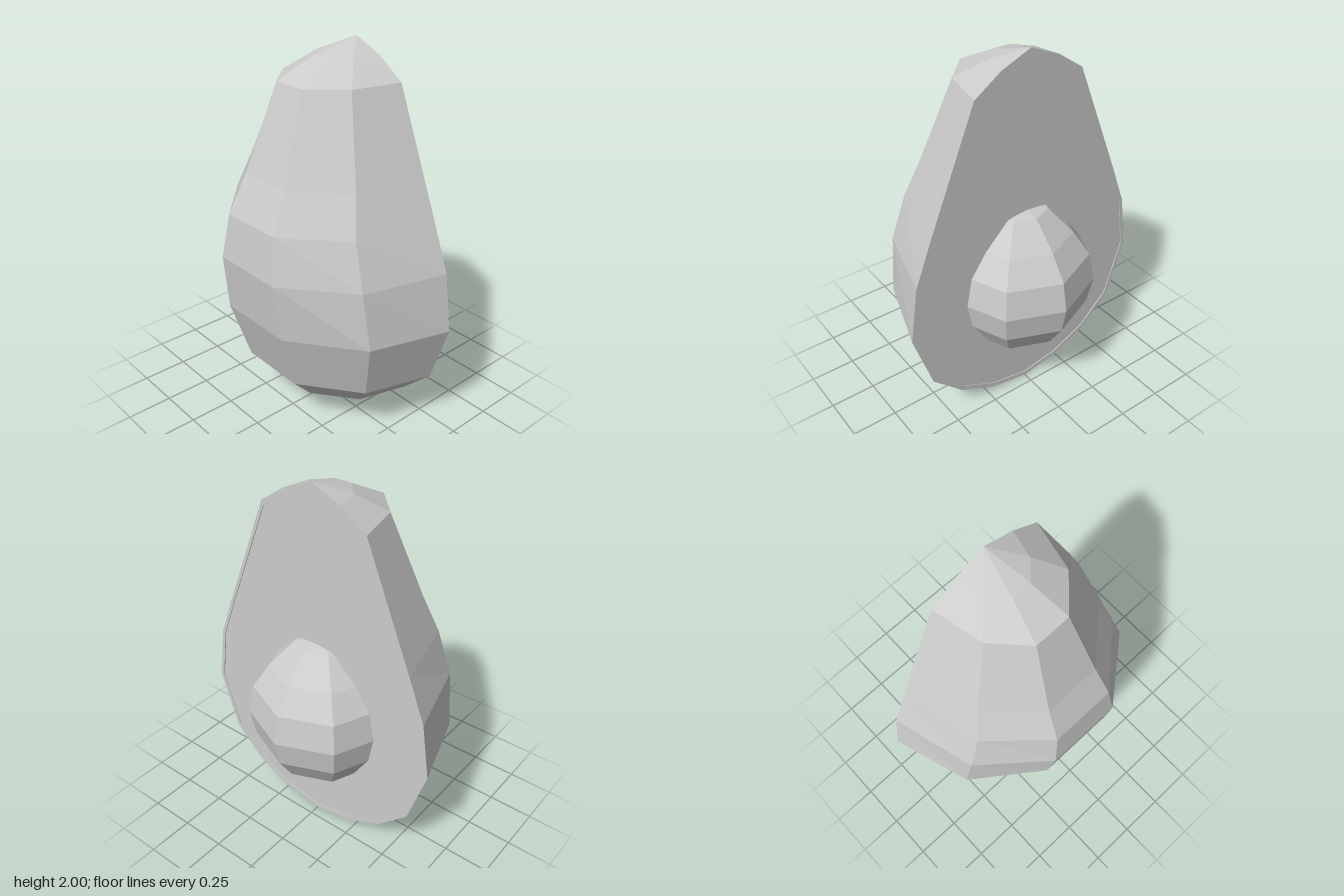
import * as THREE from 'three';

const CUT = -0.195; // z of the flat sliced plane
const SIDES = 5; // facets around the half skin

// Skin rings from bottom to top: [height, half width, depth radius]
const RINGS = [
  [0, 0, 0], [0.04, 0.225, 0.242], [0.14, 0.43, 0.447], [0.31, 0.605, 0.61],
  [0.64, 0.71, 0.715], [0.95, 0.665, 0.752], [1.19, 0.572, 0.715],
  [1.39, 0.49, 0.615], [1.83, 0.31, 0.447], [1.93, 0.165, 0.242], [2, 0, 0],
];

// Seed profile from bottom to top: [radius, height]
const SEED = [
  [0, 0.295], [0.155, 0.32], [0.29, 0.41], [0.38, 0.55], [0.41, 0.7],
  [0.38, 0.86], [0.29, 0.99], [0.155, 1.125], [0, 1.16],
];

const material = () => new THREE.MeshStandardMaterial({ color: 0xcccccc, flatShading: true });

function addMesh(group, name, geometry) {
  const mesh = new THREE.Mesh(geometry, material());
  mesh.name = name;
  group.add(mesh);
  return mesh;
}

// Joins successive rows of points with faces, skipping collapsed triangles
function loft(rows) {
  const points = [];
  const addTriangle = (a, b, c) => {
    const area = b.clone().sub(a).cross(c.clone().sub(a)).length();
    if (area > 1e-9) points.push(a, b, c);
  };
  for (let i = 0; i < rows.length - 1; i++) {
    for (let j = 0; j < rows[i].length - 1; j++) {
      const a = rows[i][j], b = rows[i][j + 1];
      const d = rows[i + 1][j], c = rows[i + 1][j + 1];
      addTriangle(a, d, c);
      addTriangle(a, c, b);
    }
  }
  const geometry = new THREE.BufferGeometry().setFromPoints(points);
  geometry.computeVertexNormals();
  return geometry;
}

export function createModel() {
  const group = new THREE.Group();
  group.name = 'halvedFruit';

  // Faceted outer skin
  const skinRows = RINGS.map(([y, width, depth]) =>
    Array.from({ length: SIDES + 1 }, (_, j) => {
      const angle = (Math.PI * j) / SIDES;
      return new THREE.Vector3(width * Math.cos(angle), y, CUT + depth * Math.sin(angle));
    }));
  addMesh(group, 'skin', loft(skinRows));

  // Outline of the slice: up the left side, down the right
  const left = RINGS.map(([y, width]) => [width, y]);
  const right = RINGS.slice(0, -1).reverse().map(([y, width]) => [-width, y]);
  const outline = [...left, ...right];
  const outlineRow = (scale, z) =>
    outline.map(([x, y]) => new THREE.Vector3(x * scale, 0.9 + (y - 0.9) * scale, z));

  // Thin rim with a shallow step down to the flesh
  const recess = CUT + 0.005;
  addMesh(group, 'rim', loft([outlineRow(1, CUT), outlineRow(0.97, CUT), outlineRow(0.97, recess)]));

  // Flat flesh facing backwards
  const fleshShape = new THREE.Shape(
    outlineRow(0.97, 0).slice(0, -1).map((p) => new THREE.Vector2(p.x, p.y)));
  const flesh = addMesh(group, 'flesh', new THREE.ShapeGeometry(fleshShape).rotateY(Math.PI));
  flesh.position.z = recess;

  // Egg-shaped seed, partly sunk into the flesh
  const seedProfile = SEED.map(([r, y]) => new THREE.Vector2(r, y));
  const seed = addMesh(group, 'seed', new THREE.LatheGeometry(seedProfile, 8));
  seed.position.z = -0.11;

  return group;
}
